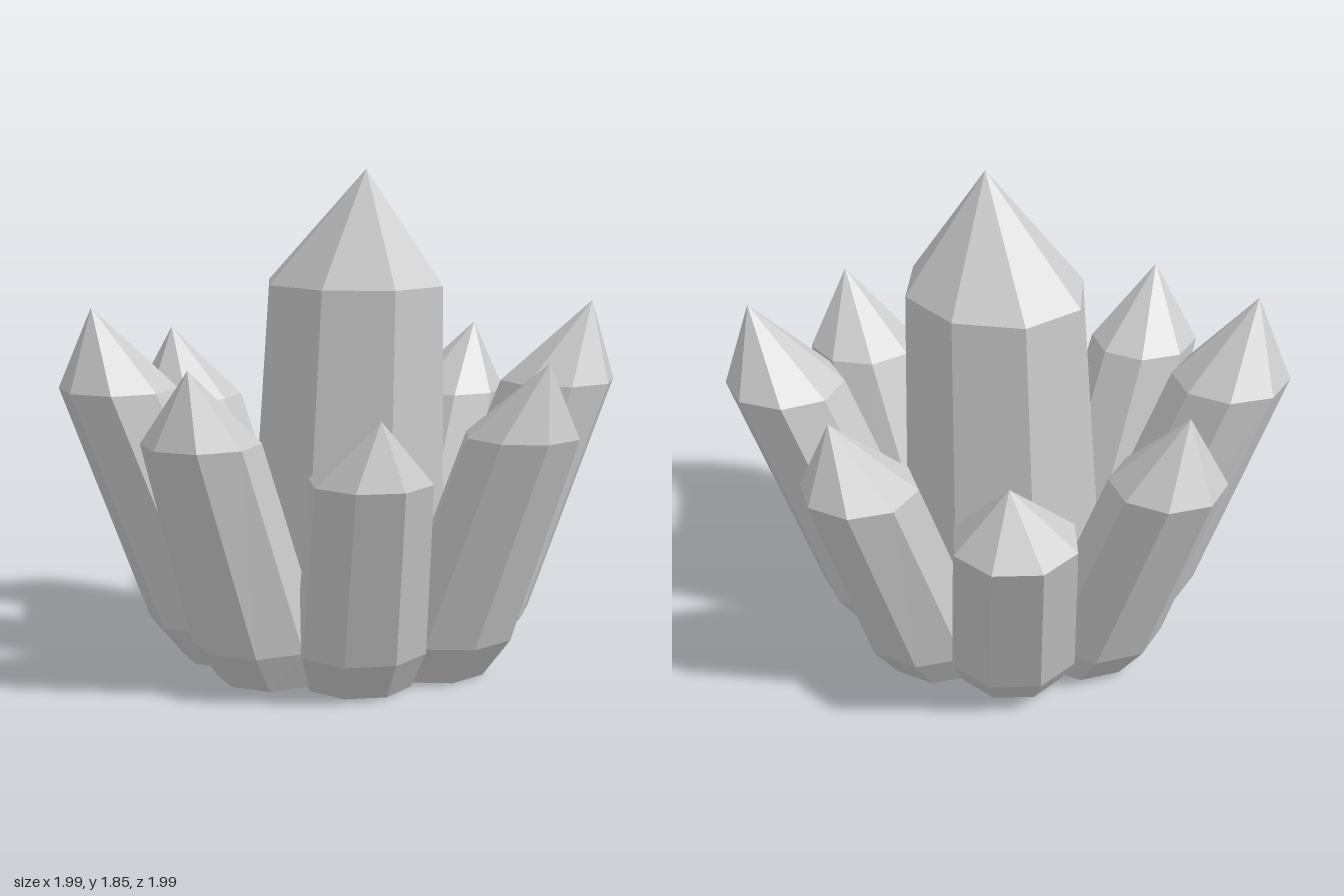
import * as THREE from 'three';

const SIDES = 8;
const rad = THREE.MathUtils.degToRad;

// Horizontal ring of corners: c = distance from the cluster axis along direction dir,
// off = sideways shift, rr / rt = radial and sideways radius, phase = twist (degrees).
function ring(dir, y, c, off, rr, rt, phase) {
  const ux = Math.cos(rad(dir)), uz = Math.sin(rad(dir));
  return Array.from({ length: SIDES }, (_, k) => {
    const p = rad(phase + (k * 360) / SIDES);
    const r = c + rr * Math.cos(p), t = off + rt * Math.sin(p);
    return new THREE.Vector3(ux * r - uz * t, y, uz * r + ux * t);
  });
}

// Faceted crystal: flat foot, stacked rings, pointed tip.
function crystalGeometry(rings, apex) {
  const tris = [];
  const foot = rings[0].reduce((s, v) => s.add(v), new THREE.Vector3()).divideScalar(SIDES);
  const top = rings[rings.length - 1];
  for (let k = 0; k < SIDES; k++) {
    const n = (k + 1) % SIDES;
    tris.push(foot, rings[0][k], rings[0][n]);
    for (let i = 0; i < rings.length - 1; i++) {
      const a = rings[i], b = rings[i + 1];
      tris.push(a[k], b[k], a[n], a[n], b[k], b[n]);
    }
    tris.push(top[k], apex, top[n]);
  }
  const geo = new THREE.BufferGeometry().setFromPoints(tris);
  geo.computeVertexNormals();
  return geo;
}

export function createModel() {
  const group = new THREE.Group();
  const material = new THREE.MeshStandardMaterial({ color: 0xcccccc, flatShading: true });
  const add = (name, rings, apex) => {
    const mesh = new THREE.Mesh(crystalGeometry(rings, new THREE.Vector3(...apex)), material);
    mesh.name = name;
    group.add(mesh);
  };

  // Tall central crystal
  add('centralCrystal', [
    ring(0, 0, -0.01, -0.03, 0.34, 0.33, 31),
    ring(0, 0.16, -0.01, -0.03, 0.41, 0.385, 31),
    ring(0, 1.42, 0.03, -0.04, 0.358, 0.322, 31),
  ], [0.11, 1.845, -0.005]);

  // Sizes of the leaning crystals: shoulder height, then [distance, radial radius, side radius]
  const foot = [0.41, 0.2, 0.2];
  const medium = { y: 0.925, knee: [0.49, 0.235, 0.24], top: [0.785, 0.213, 0.208] };
  const tall = { y: 1.04, knee: [0.5, 0.235, 0.24], top: [0.835, 0.222, 0.218] };
  const short = { y: 0.81, knee: [0.49, 0.235, 0.24], top: [0.715, 0.225, 0.22] };
  const shortOuter = { y: 0.81, knee: [0.5, 0.24, 0.245], top: [0.745, 0.235, 0.23] };

  // Ring of leaning crystals: name, size, direction, sideways shift, twist, tip
  const leaning = [
    ['leftCrystal', medium, 0, -0.02, -11, [0.91, 1.195, 0.01]],
    ['frontLeftCrystal', short, 45, 0, 22, [0.61, 1.04, 0.59]],
    ['frontCrystal', medium, 90, 0.015, 7, [0.03, 1.195, 0.9]],
    ['frontRightCrystal', tall, 135, 0.01, 8, [-0.635, 1.345, 0.68]],
    ['rightCrystal', medium, 180, 0.015, 6, [-0.85, 1.195, 0.01]],
    ['backRightCrystal', shortOuter, 225, 0, 22, [-0.54, 1.04, -0.57]],
    ['backCrystal', medium, 270, -0.02, 8, [0.03, 1.195, -0.87]],
    ['backLeftCrystal', tall, 315, 0, 0, [0.7, 1.345, -0.655]],
  ];
  for (const [name, s, dir, off, twist, apex] of leaning) {
    const level = (y, [c, rr, rt]) => ring(dir, y, c, off, rr, rt, twist);
    add(name, [level(0, foot), level(0.15, s.knee), level(s.y, s.top)], apex);
  }
  return group;
}
